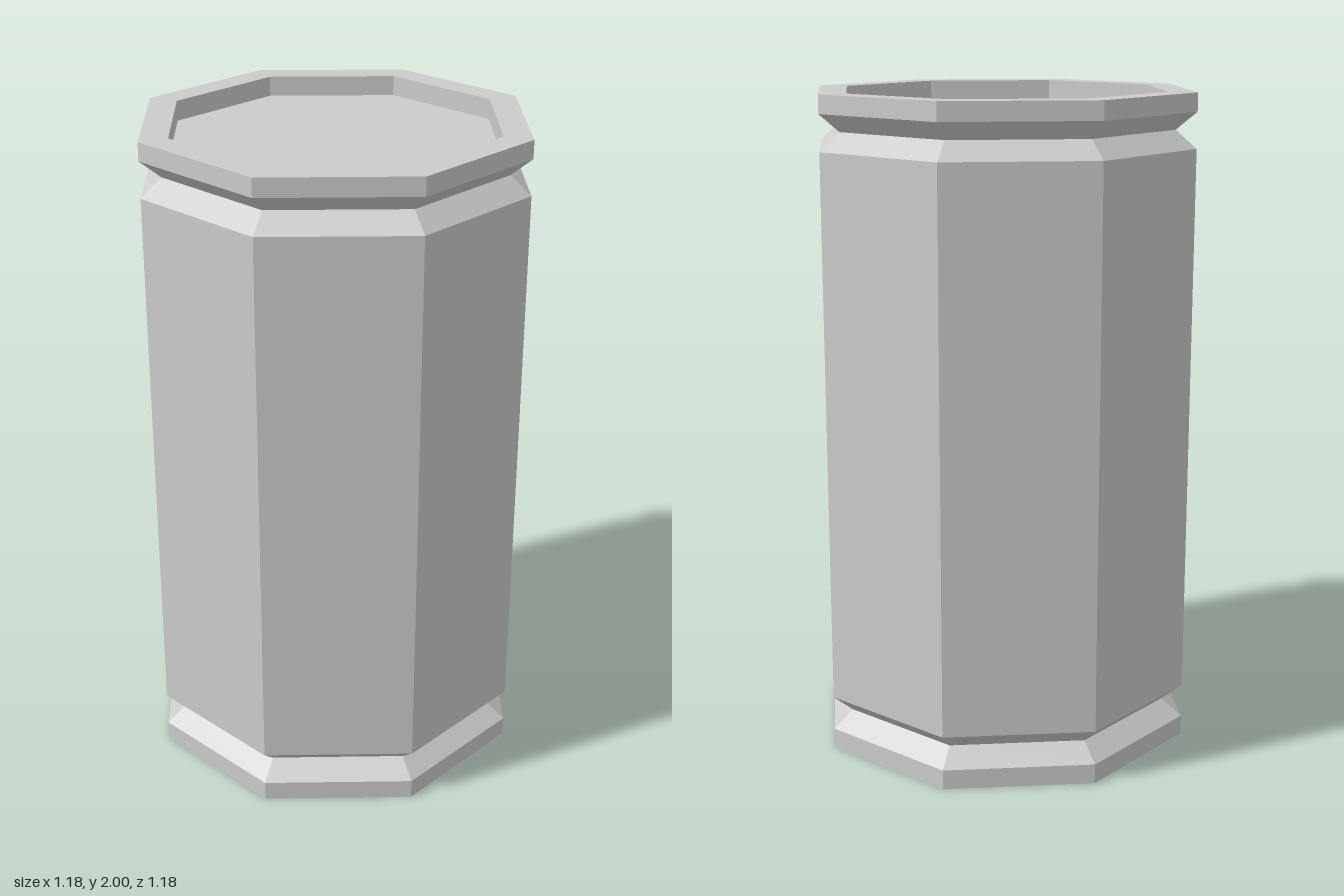
import * as THREE from 'three';

const SIDES = 8;
const R = 0.59;        // outer radius
const GROOVE = 0.527;  // radius at the bottom of each groove
const RECESS = 0.502;  // radius of the sunken lid

export function createModel() {
  const group = new THREE.Group();
  group.name = 'canister';
  const material = new THREE.MeshStandardMaterial({ color: 0xcccccc, flatShading: true });

  // Eight-sided ring turned from a [radius, height] profile, bottom to top
  const turn = (name, profile) => {
    const points = profile.map(([r, y]) => new THREE.Vector2(r, y));
    const mesh = new THREE.Mesh(new THREE.LatheGeometry(points, SIDES), material);
    mesh.name = name;
    group.add(mesh);
  };

  // Closed foot up to the lower groove
  turn('foot', [[0, 0], [R, 0], [R, 0.06], [GROOVE, 0.112]]);

  // Tall body, bevelled into both grooves
  turn('body', [[GROOVE, 0.112], [R, 0.165], [R, 1.838], [GROOVE, 1.892]]);

  // Upper rim with the sunken lid
  turn('rimAndLid', [[GROOVE, 1.892], [R, 1.945], [R, 2], [RECESS, 2], [RECESS, 1.94], [0, 1.94]]);

  return group;
}
